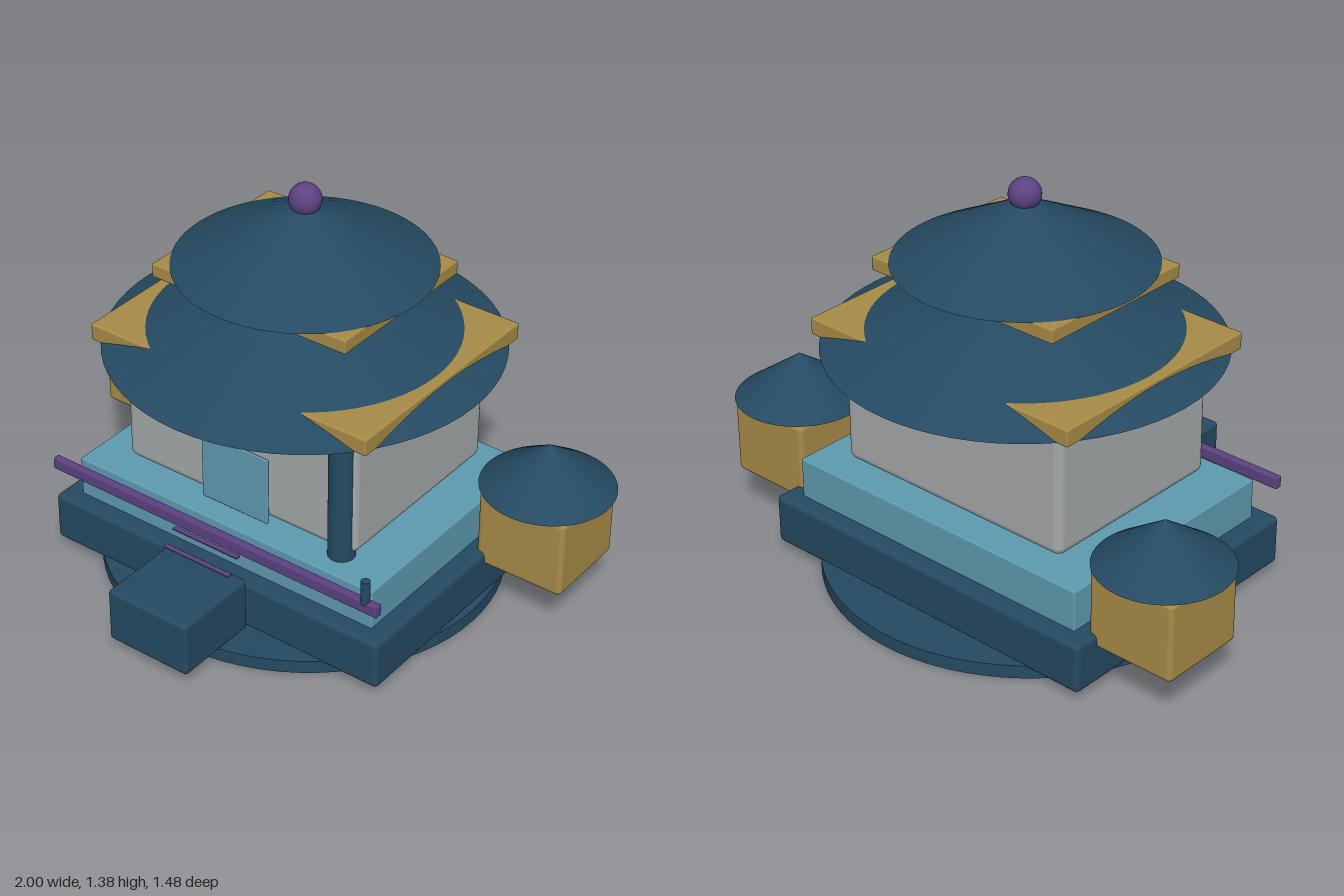
import * as THREE from 'three';
import { RoundedBoxGeometry } from 'three/addons/geometries/RoundedBoxGeometry.js';

export function createModel() {
  const group = new THREE.Group();
  const paint = (name, color) => {
    const m = new THREE.MeshStandardMaterial({ color });
    m.name = name;
    return m;
  };
  const navy = paint('navy', 0x254a62);
  const gold = paint('gold', 0xa88c47);
  const teal = paint('teal', 0x5f9bb0);
  const stone = paint('stone grey', 0xa6a9aa);
  const purple = paint('purple', 0x5c4282);
  const axisZ = -0.072; // depth of the main vertical axis

  const add = (name, geometry, material, x, y, z) => {
    const mesh = new THREE.Mesh(geometry, material);
    mesh.name = name;
    mesh.position.set(x, y, z);
    group.add(mesh);
    return mesh;
  };
  // Box given by its extents, with softened edges when r > 0
  const block = (name, material, [x0, x1], [y0, y1], [z0, z1], r = 0) => {
    const size = [x1 - x0, y1 - y0, z1 - z0];
    const geometry = r ? new RoundedBoxGeometry(...size, 3, r) : new THREE.BoxGeometry(...size);
    return add(name, geometry, material, (x0 + x1) / 2, (y0 + y1) / 2, (z0 + z1) / 2);
  };
  const roof = (name, radius, y0, y1, x, z) =>
    add(name, new THREE.ConeGeometry(radius, y1 - y0, 64), navy, x, (y0 + y1) / 2, z);
  const post = (name, radius, y0, y1, x, z) =>
    add(name, new THREE.CylinderGeometry(radius, radius, y1 - y0, 24), navy, x, (y0 + y1) / 2, z);

  // Ground disc and stepped foundation
  const disc = post('groundDisc', 1, 0, 0.046, 0, axisZ);
  disc.geometry = new THREE.CylinderGeometry(0.68, 0.68, 0.046, 72);
  disc.scale.z = 0.98;
  block('plinth', navy, [-0.655, 0.655], [0.033, 0.206], [-0.57, 0.427], 0.018);
  block('terrace', teal, [-0.59, 0.59], [0.2, 0.346], [-0.51, 0.366], 0.006);

  // Entrance block and thin treads
  block('entranceBlock', navy, [-0.157, 0.157], [0.042, 0.235], [0.433, 0.741], 0.014);
  block('lowerTread', purple, [-0.13, 0.13], [0.266, 0.271], [0.478, 0.496]);
  block('upperTread', purple, [-0.13, 0.13], [0.31, 0.315], [0.433, 0.451]);

  // Front rail with its post
  block('rail', purple, [-0.652, 0.652], [0.314, 0.355], [0.404, 0.431], 0.004);
  post('railPost', 0.015, 0.345, 0.43, 0.603, 0.42);

  // Main hall, door and column
  block('hall', stone, [-0.457, 0.457], [0.365, 0.811], [-0.428, 0.278], 0.03);
  block('door', teal, [-0.132, 0.132], [0.355, 0.6], [0.286, 0.295], 0.004);
  post('column', 0.045, 0.345, 0.81, 0.4, 0.265);

  // Stacked roofs with square eaves
  block('lowerEave', gold, [-0.538, 0.538], [0.813, 0.872], [-0.487, 0.341], 0.006);
  roof('lowerRoof', 0.648, 0.816, 1.07, 0, axisZ);
  block('ridgeBeam', purple, [-0.3, 0.3], [1.042, 1.07], [-0.1, -0.045]);
  block('upperEave', gold, [-0.374, 0.374], [1.05, 1.098], [-0.37, 0.226], 0.005);
  roof('upperRoof', 0.423, 1.098, 1.315, 0, axisZ);
  add('finial', new THREE.SphereGeometry(0.053, 32, 20), purple, 0, 1.322, axisZ);

  // Side towers
  for (const side of [-1, 1]) {
    const x = side * 0.779;
    const label = side > 0 ? 'left' : 'right';
    block(label + 'Tower', gold, [x - 0.159, x + 0.159], [0.158, 0.435], [-0.481, -0.165], 0.018);
    roof(label + 'TowerRoof', 0.221, 0.439, 0.595, x, -0.323);
  }
  return group;
}
